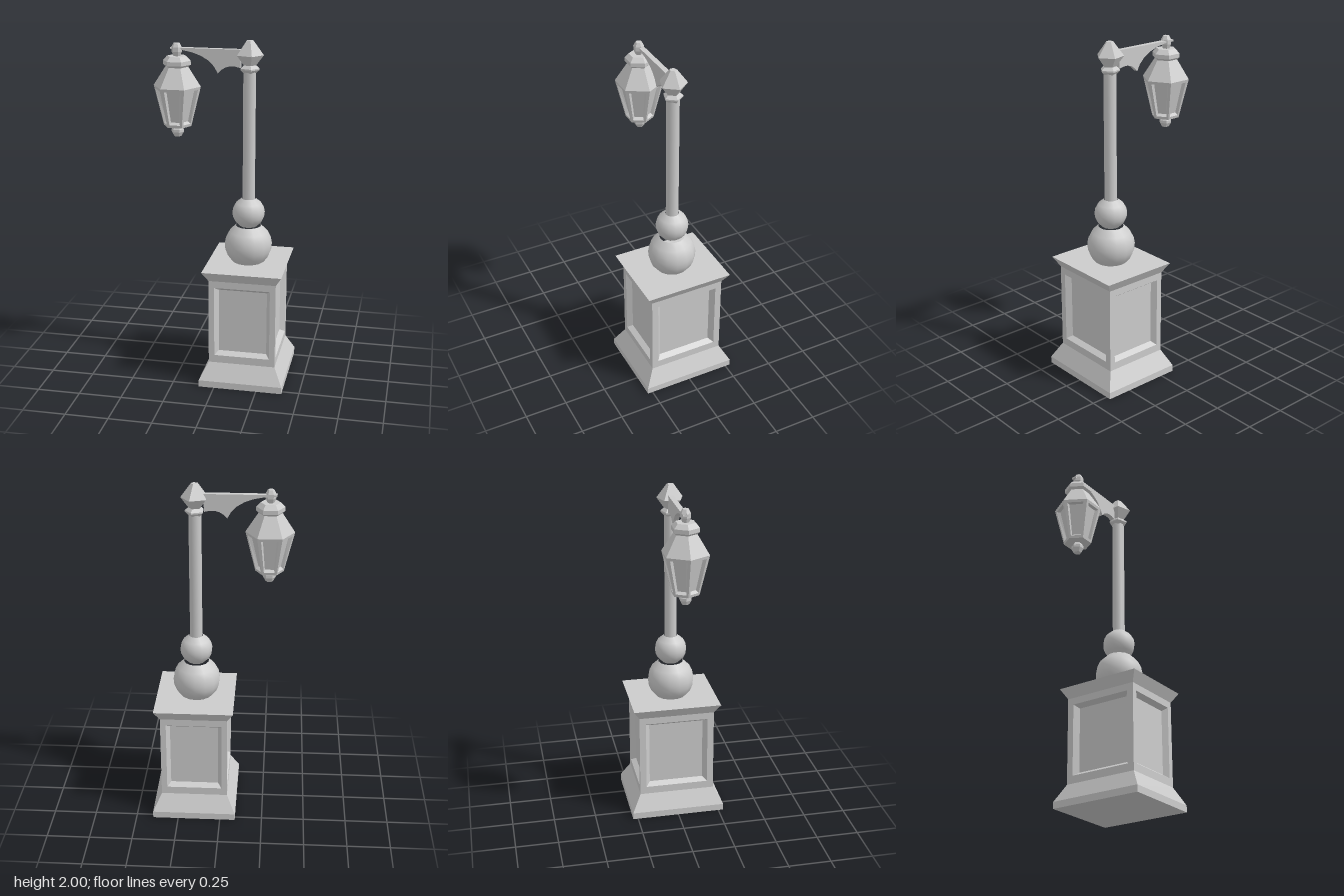
import * as THREE from 'three';

const stone = new THREE.MeshStandardMaterial({ color: 0xcccccc });
stone.name = 'light grey';

function add(group, name, geometry, x = 0, y = 0, z = 0) {
  const mesh = new THREE.Mesh(geometry, stone);
  mesh.name = name;
  mesh.position.set(x, y, z);
  group.add(mesh);
  return mesh;
}

// Faceted skin through equal-length loops, counter-clockwise seen from the last loop's side
function loft(loops, capStart, capEnd) {
  const pos = [];
  const tri = (a, b, c) => [a, b, c].forEach(p => pos.push(p.x, p.y, p.z));
  const n = loops[0].length;
  for (let k = 0; k + 1 < loops.length; k++) {
    const a = loops[k], b = loops[k + 1];
    for (let i = 0; i < n; i++) {
      const j = (i + 1) % n;
      tri(a[i], a[j], b[j]);
      tri(a[i], b[j], b[i]);
    }
  }
  const first = loops[0], last = loops[loops.length - 1];
  for (let i = 1; i + 1 < n; i++) {
    if (capStart) tri(first[0], first[i + 1], first[i]);
    if (capEnd) tri(last[0], last[i], last[i + 1]);
  }
  const g = new THREE.BufferGeometry();
  g.setAttribute('position', new THREE.Float32BufferAttribute(pos, 3));
  g.computeVertexNormals();
  return g;
}

// Horizontal rectangle and regular polygon loops
const rect = ([y, hx, hz]) => [[-1, 1], [1, 1], [1, -1], [-1, -1]]
  .map(([sx, sz]) => new THREE.Vector3(sx * hx, y, sz * hz));
const ring = (n, r, y) => Array.from({ length: n }, (_, i) => {
  const a = i * Math.PI * 2 / n;
  return new THREE.Vector3(r * Math.cos(a), y, -r * Math.sin(a));
});
const turned = (n, profile) => loft(profile.map(([r, y]) => ring(n, r, y)), true, true);

// Framed, recessed panel between two wall loops: opening and floor given as [u, v0, v1]
function panel(low, high, i, opening, floor, depth) {
  const j = (i + 1) % low.length;
  const c = [low[i], low[j], high[j], high[i]];
  const normal = c[1].clone().sub(c[0]).cross(c[3].clone().sub(c[0])).normalize();
  const at = (u, v) => c[0].clone().lerp(c[1], u).lerp(c[3].clone().lerp(c[2], u), v);
  const inset = ([u, v0, v1], d) => [at(u, v0), at(1 - u, v0), at(1 - u, v1), at(u, v1)]
    .map(p => p.addScaledVector(normal, -d));
  return loft([c, inset(opening, 0), inset(floor, depth)], false, true);
}

function createPedestal() {
  const g = new THREE.Group();
  g.name = 'pedestal';
  const low = [0.14, 0.195, 0.225], high = [0.65, 0.195, 0.225];
  add(g, 'plinth', loft([[0, 0.245, 0.28], [0.04, 0.245, 0.28], low].map(rect), true, false));
  for (let i = 0; i < 4; i++) {
    add(g, 'pedestalPanel', panel(rect(low), rect(high), i, [0.085, 0.09, 0.92], [0.14, 0.13, 0.88], 0.03));
  }
  add(g, 'cornice', loft([high, [0.71, 0.23, 0.26]].map(rect), false, true));
  g.position.x = 0.155;
  return g;
}

// Ball with flattened ends
function ball(r, low, high) {
  const points = [];
  for (let i = 0; i <= 6; i++) {
    const y = low + (high - low) * i / 6;
    points.push(new THREE.Vector2(Math.sqrt(r * r - y * y), y));
  }
  return new THREE.LatheGeometry(points, 14);
}

function createPost() {
  const g = new THREE.Group();
  g.name = 'post';
  add(g, 'lowerBall', ball(0.138, -0.105, 0.117), 0, 0.81);
  add(g, 'upperBall', ball(0.094, -0.08, 0.085), 0, 1.005);
  add(g, 'shaft', new THREE.CylinderGeometry(0.036, 0.036, 0.77, 12), 0, 1.455);
  add(g, 'collar', turned(5, [[0.038, 1.82], [0.056, 1.838], [0.056, 1.846], [0.034, 1.865]]));
  add(g, 'cap', turned(5, [[0.034, 1.86], [0.079, 1.92], [0.02, 2.0]]));
  g.position.x = 0.151;
  return g;
}

// Bracket arm with a scalloped underside
function createArm() {
  const s = new THREE.Shape();
  s.moveTo(-0.3, 1.947);
  s.lineTo(-0.3, 1.937);
  s.lineTo(-0.235, 1.935);
  s.quadraticCurveTo(-0.07, 1.915, -0.028, 1.81);
  s.quadraticCurveTo(0.02, 1.872, 0.1, 1.845);
  s.lineTo(0.1, 1.947);
  s.closePath();
  return new THREE.ExtrudeGeometry(s, { depth: 0.03, bevelEnabled: false, curveSegments: 5 });
}

function createLantern() {
  const g = new THREE.Group();
  g.name = 'lantern';
  const low = ring(6, 0.08, 1.5), high = ring(6, 0.137, 1.73);
  for (let i = 0; i < 6; i++) {
    add(g, 'lanternPane', panel(low, high, i, [0.14, 0.07, 0.93], [0.21, 0.11, 0.9], 0.018));
  }
  add(g, 'lanternFloor', loft([low], true, false));
  add(g, 'roof', loft([high, ring(6, 0.066, 1.84)], false, true));
  add(g, 'roofCollar', turned(6, [[0.06, 1.835], [0.08, 1.852], [0.08, 1.875], [0.056, 1.9]]));
  add(g, 'topFinial', turned(6, [[0.018, 1.895], [0.03, 1.925], [0.03, 1.95], [0.018, 1.972]]));
  add(g, 'bottomFinial', turned(6, [[0.022, 1.44], [0.036, 1.465], [0.036, 1.48], [0.022, 1.502]]));
  g.position.x = -0.264;
  return g;
}

export function createModel() {
  const model = new THREE.Group();
  model.name = 'streetLamp';
  model.add(createPedestal(), createPost(), createLantern());
  add(model, 'arm', createArm(), 0, 0, -0.022);
  return model;
}
